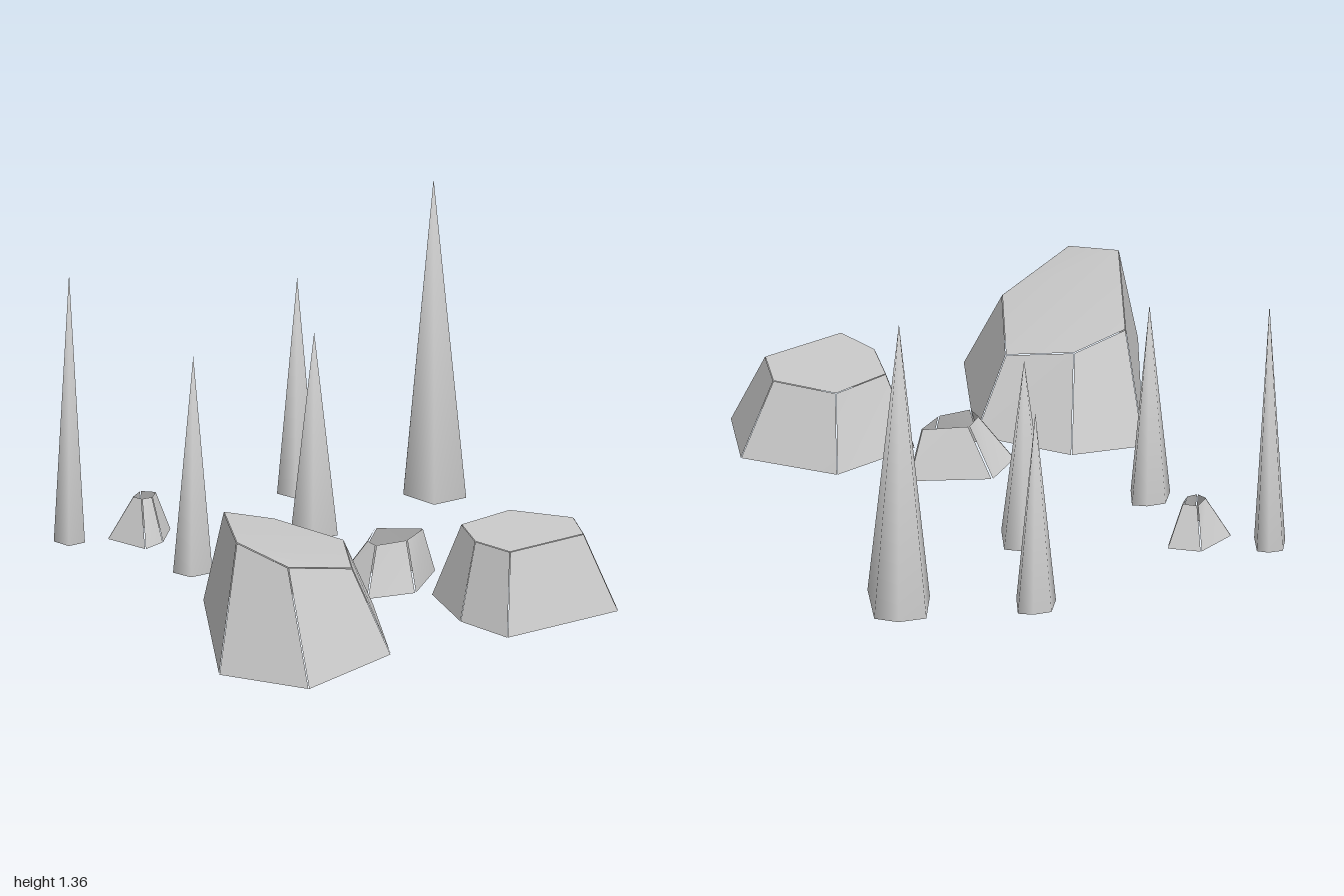
import * as THREE from 'three';

const stone = new THREE.MeshStandardMaterial({ color: 0xcccccc, side: THREE.DoubleSide });

function makeMesh(name, points, index) {
  const geometry = new THREE.BufferGeometry().setFromPoints(points);
  geometry.setIndex(index);
  geometry.computeVertexNormals();
  const mesh = new THREE.Mesh(geometry, stone);
  mesh.name = name;
  return mesh;
}

// Flat polygon, pulled slightly towards its centre so a crack shows round it
function panel(name, corners, inset) {
  const centre = new THREE.Vector3();
  corners.forEach((p) => centre.addScaledVector(p, 1 / corners.length));
  const points = corners.map((p) => p.clone().lerp(centre, inset));
  const index = [];
  for (let i = 1; i < points.length - 1; i++) index.push(0, i, i + 1);
  return makeMesh(name, points, index);
}

// Hollow rock: a ring of sloping slabs, optionally closed by a top slab.
// base is [x, z], top is [x, y, z], both running left, front, right, back.
function rock(name, base, top, inset, capped) {
  const group = new THREE.Group();
  group.name = name;
  const low = base.map(([x, z]) => new THREE.Vector3(x, 0.008, z));
  const high = top.map((p) => new THREE.Vector3(...p));
  low.forEach((p, i) => {
    const j = (i + 1) % low.length;
    group.add(panel('rockSide', [p, low[j], high[j], high[i]], inset));
  });
  if (capped) group.add(panel('rockTop', high, inset / 2));
  return group;
}

// Irregular six-sided spike with smooth shading and an open foot
const spikeOutline = [[-1, 0], [-0.5, 1], [0.6, 0.92], [1, -0.45], [0.4, -0.85], [-0.45, -0.97]];
function spike(x, z, rx, rz, foot, height) {
  const points = spikeOutline.map(([u, v]) => new THREE.Vector3(x + u * rx, foot, z + v * rz));
  points.push(new THREE.Vector3(x, height, z));
  const index = [];
  for (let i = 0; i < 6; i++) index.push(i, (i + 1) % 6, 6);
  return makeMesh('spike', points, index);
}

export function createModel() {
  const model = new THREE.Group();
  model.name = 'rocksAndSpikes';

  // Large rock with a sloping top
  model.add(rock('largeRock',
    [[-0.91, 0.71], [-0.645, 1], [-0.19, 0.81], [-0.03, 0.295], [-0.34, 0.02], [-0.635, -0.03]],
    [[-0.785, 0.53, 0.61], [-0.645, 0.468, 0.8], [-0.315, 0.37, 0.705],
      [-0.185, 0.335, 0.345], [-0.41, 0.4, 0.165], [-0.63, 0.465, 0.155]],
    0.012, true));

  // Medium rock with a level top
  model.add(rock('mediumRock',
    [[0.21, 0.615], [0.31, 0.85], [0.835, 0.785], [0.905, 0.505], [0.59, 0.245], [0.225, 0.31]],
    [[0.29, 0.335, 0.585], [0.37, 0.335, 0.745], [0.72, 0.335, 0.7],
      [0.755, 0.335, 0.525], [0.555, 0.335, 0.345], [0.315, 0.335, 0.4]],
    0.01, true));

  // Two small open-topped rocks
  model.add(rock('smallRock',
    [[-0.12, 0.08], [-0.035, 0.25], [0.17, 0.275], [0.345, 0.09], [0.02, -0.025]],
    [[0.02, 0.22, 0.14], [0.03, 0.22, 0.195], [0.165, 0.22, 0.2], [0.27, 0.225, 0.13], [0.09, 0.235, 0.065]],
    0.04, false));
  model.add(rock('tinyRock',
    [[-0.72, -0.765], [-0.625, -0.6], [-0.53, -0.635], [-0.44, -0.755], [-0.56, -0.83]],
    [[-0.62, 0.2, -0.725], [-0.6, 0.2, -0.69], [-0.555, 0.2, -0.69], [-0.52, 0.2, -0.73], [-0.57, 0.2, -0.765]],
    0.05, false));

  // Spikes: x, z, half width, half depth, foot, height
  [
    [0.705, -0.7, 0.135, 0.15, 0.003, 1.36],
    [0.07, -0.48, 0.105, 0.098, 0.02, 0.885],
    [0.2, -0.92, 0.09, 0.077, 0.005, 0.935],
    [-0.525, -0.36, 0.09, 0.075, 0, 0.93],
    [-0.845, -0.86, 0.068, 0.07, 0, 1.16],
  ].forEach((s) => model.add(spike(...s)));

  return model;
}
